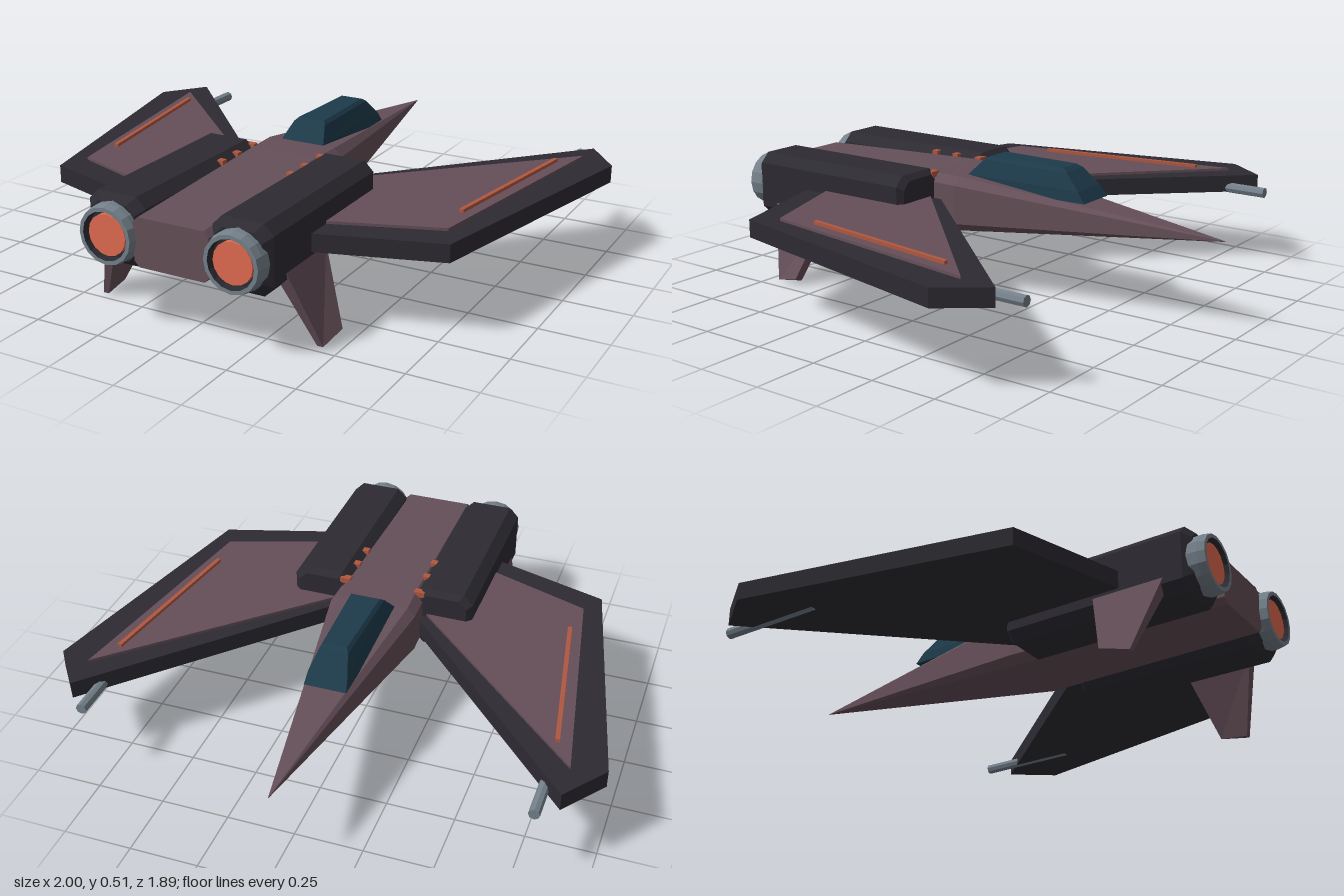
import * as THREE from 'three';

const paint = (color) => new THREE.MeshStandardMaterial({ color, flatShading: true });

// Joins rings of points (counter-clockwise seen from the end of the stack) and caps both ends.
function loft(rings) {
  const n = rings[0].length, pos = rings.flat(2), idx = [];
  for (let r = 0; r < rings.length - 1; r++) {
    for (let i = 0; i < n; i++) {
      const a = r * n + i, b = r * n + (i + 1) % n;
      idx.push(a, b, b + n, a, b + n, a + n);
    }
  }
  const last = (rings.length - 1) * n;
  for (let i = 1; i < n - 1; i++) idx.push(0, i + 1, i, last, last + i, last + i + 1);
  const geo = new THREE.BufferGeometry();
  geo.setAttribute('position', new THREE.Float32BufferAttribute(pos, 3));
  geo.setIndex(idx);
  return geo;
}

// Rectangle with cut corners, lying in the plane z.
function cutRect(cx, y0, y1, hw, cut, z) {
  const c = cut;
  return [
    [cx + hw, y0 + c, z], [cx + hw, y1 - c, z], [cx + hw - c, y1, z], [cx - hw + c, y1, z],
    [cx - hw, y1 - c, z], [cx - hw, y0 + c, z], [cx - hw + c, y0, z], [cx + hw - c, y0, z],
  ];
}

// Level four-cornered ring at height y.
const levelRing = (y, wBack, wFront, zBack, zFront) =>
  [[wBack, y, zBack], [wFront, y, zFront], [-wFront, y, zFront], [-wBack, y, zBack]];

// Flat plate with an (x, z) outline.
function plate(outline, yBottom, yTop) {
  const shape = new THREE.Shape(outline.map(([x, z]) => new THREE.Vector2(x, z)));
  return new THREE.ExtrudeGeometry(shape, { depth: yTop - yBottom, bevelEnabled: false })
    .rotateX(Math.PI / 2).translate(0, yTop, 0);
}

// Flat-shaded copy, reflected across x = 0 when asked.
function facet(source, mirror) {
  const geo = source.index ? source.toNonIndexed() : source.clone();
  if (mirror) {
    geo.scale(-1, 1, 1);
    const p = geo.attributes.position, a = new THREE.Vector3(), b = new THREE.Vector3();
    for (let i = 0; i < p.count; i += 3) {
      a.fromBufferAttribute(p, i + 1);
      b.fromBufferAttribute(p, i + 2);
      p.setXYZ(i + 1, b.x, b.y, b.z);
      p.setXYZ(i + 2, a.x, a.y, a.z);
    }
  }
  geo.computeVertexNormals();
  return geo;
}

export function createModel() {
  const model = new THREE.Group();
  model.name = 'spacecraft';
  const hullPaint = paint(0x654f58), dark = paint(0x2d2b32), glass = paint(0x1d3a4a);
  const metal = paint(0x74808a), orange = paint(0xb0573f), glow = paint(0xe06a50);

  const add = (name, geo, mat) => {
    const mesh = new THREE.Mesh(facet(geo, false), mat);
    mesh.name = name;
    model.add(mesh);
  };
  const addPair = (name, geo, mat) => [['left', false], ['right', true]].forEach(([side, mirror]) => {
    const mesh = new THREE.Mesh(facet(geo, mirror), mat);
    mesh.name = side + name;
    model.add(mesh);
  });

  // Hull tapering to a needle nose
  add('hull', loft([
    cutRect(0, 0.334, 0.336, 0.001, 0.0003, -0.945),
    cutRect(0, 0.235, 0.44, 0.165, 0.03, 0.07),
    cutRect(0, 0.235, 0.44, 0.16, 0.03, 0.2),
    cutRect(0, 0.24, 0.415, 0.145, 0.02, 0.92),
  ]), hullPaint);

  // Cockpit canopy
  add('canopy', loft([
    levelRing(0.4, 0.09, 0.078, 0.075, -0.435),
    levelRing(0.44, 0.086, 0.072, 0.065, -0.405),
    levelRing(0.498, 0.064, 0.053, 0.012, -0.345),
    levelRing(0.51, 0.052, 0.042, -0.005, -0.325),
  ]), glass);

  // Engine pods with chamfered ends
  addPair('EnginePod', loft([
    cutRect(0.24, 0.235, 0.44, 0.092, 0.03, 0.17),
    cutRect(0.24, 0.215, 0.46, 0.112, 0.036, 0.19),
    cutRect(0.24, 0.215, 0.46, 0.112, 0.036, 0.87),
    cutRect(0.24, 0.24, 0.435, 0.087, 0.03, 0.9),
  ]), dark);

  // Exhaust nozzles: metal shell, dark throat, glowing disc
  const turned = (points) => new THREE.LatheGeometry(
    points.map(([r, z]) => new THREE.Vector2(r, z)), 16)
    .rotateX(Math.PI / 2).translate(0.24, 0.335, 0);
  addPair('Nozzle', turned([[0.09, 0.86], [0.106, 0.885], [0.106, 0.92], [0.1, 0.948], [0.086, 0.948]]), metal);
  addPair('NozzleThroat', turned([[0.086, 0.948], [0.084, 0.915], [0, 0.915]]), dark);
  addPair('ExhaustGlow', new THREE.CylinderGeometry(0.073, 0.073, 0.02, 16)
    .rotateX(Math.PI / 2).translate(0.24, 0.335, 0.925), glow);

  // Forward-swept wings with a raised inlay
  addPair('Wing', plate(
    [[0.14, 0.16], [0.88, -0.64], [1, -0.48], [0.78, 0.5], [0.2, 0.68]], 0.285, 0.35), dark);
  addPair('WingPanel', plate(
    [[0.17, 0.18], [0.88, -0.51], [0.73, 0.4], [0.2, 0.59]], 0.345, 0.36), hullPaint);
  addPair('WingStripe', plate(
    [[0.803, -0.4], [0.819, -0.4], [0.718, 0.25], [0.702, 0.25]], 0.355, 0.372), orange);

  // Guns under the wing tips
  addPair('Gun', new THREE.CylinderGeometry(0.02, 0.02, 0.4, 8)
    .rotateX(Math.PI / 2).translate(0.81, 0.3, -0.505), metal);

  // Splayed lower fins
  addPair('Fin', loft([
    [[0.44, 0, 0.715], [0.456, 0.025, 0.61], [0.424, 0.012, 0.61], [0.418, 0, 0.715]],
    [[0.35, 0.28, 0.8], [0.35, 0.28, 0.53], [0.305, 0.27, 0.53], [0.305, 0.27, 0.8]],
  ]), hullPaint);

  // Small lights along the hull shoulders
  [0.185, 0.295, 0.395].forEach((z, i) => {
    addPair('ShoulderLight' + (i + 1),
      new THREE.BoxGeometry(0.04, 0.022, 0.026).translate(0.147, 0.437, z), orange);
  });

  return model;
}
